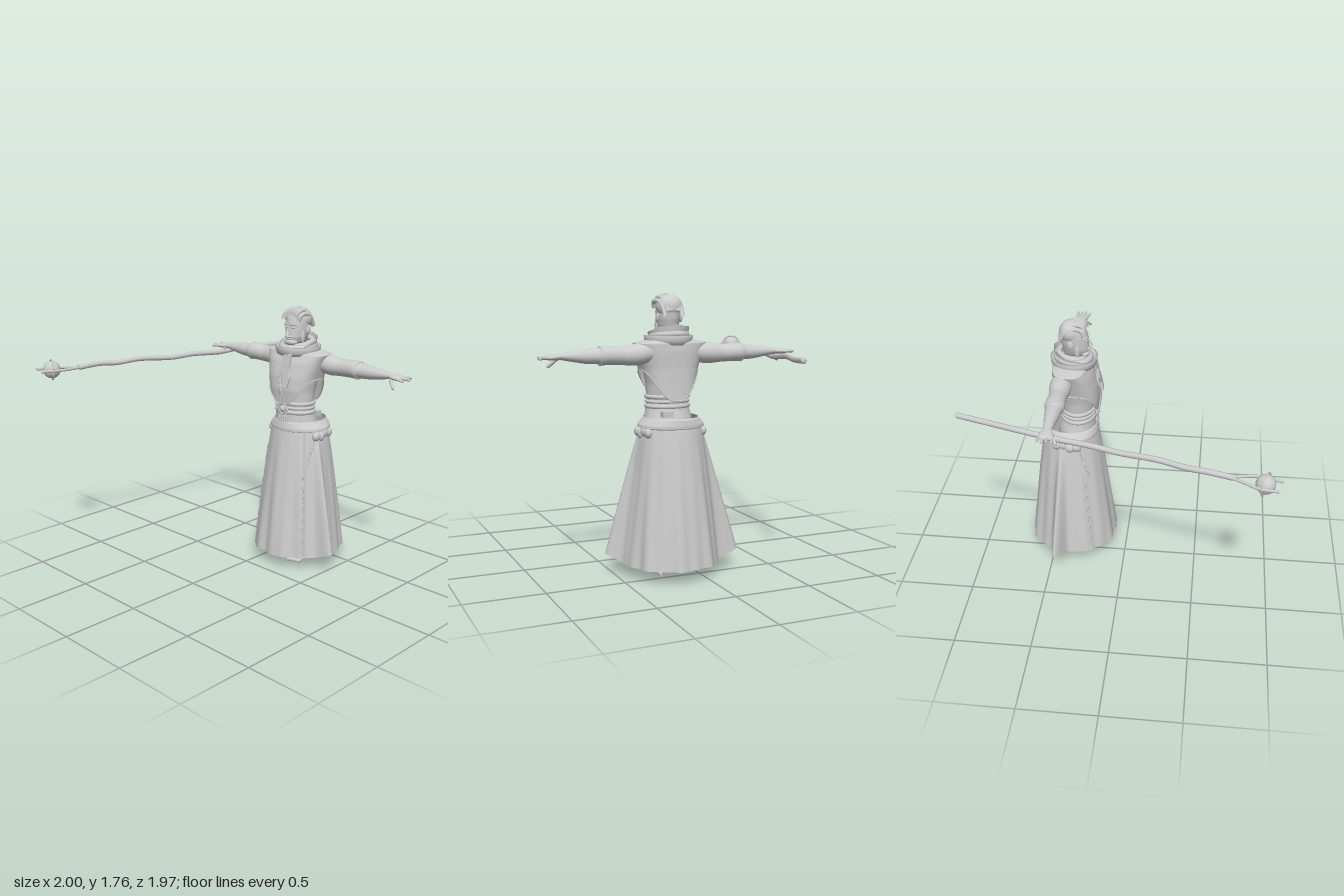
import * as THREE from 'three';

const cloth = new THREE.MeshStandardMaterial({ color: 0xcccccc, side: THREE.DoubleSide });
cloth.name = 'plain grey';
const CX = 0.145; // the body's middle line
const V = (x, y, z) => new THREE.Vector3(x, y, z);
const lerp = THREE.MathUtils.lerp;

// linear lookup in rows of [key, a, b, ...]
function look(rows, k) {
  let i = 0;
  while (i < rows.length - 2 && k > rows[i + 1][0]) i++;
  const t = THREE.MathUtils.clamp((k - rows[i][0]) / (rows[i + 1][0] - rows[i][0]), 0, 1);
  return rows[i].map((v, n) => lerp(v, rows[i + 1][n], t));
}

// closed surface through rings; f(angle, t) gives a point
function loft(f, rows, cols) {
  const pos = [], idx = [];
  for (let r = 0; r <= rows; r++) for (let c = 0; c < cols; c++) {
    pos.push(...f(c / cols * Math.PI * 2, r / rows).toArray());
    if (r === rows) continue;
    const a = r * cols + c, b = r * cols + (c + 1) % cols;
    idx.push(a, a + cols, b, b, a + cols, b + cols);
  }
  const g = new THREE.BufferGeometry();
  g.setAttribute('position', new THREE.Float32BufferAttribute(pos, 3));
  g.setIndex(idx);
  g.computeVertexNormals();
  return g;
}

// upright ellipse rings: rows of [y, halfWidth, zFront, zBack]
const stack = (rows, n = 28, steps = 40, cx = CX) => loft((a, t) => {
  const [y, w, zf, zb] = look(rows, lerp(rows[0][0], rows[rows.length - 1][0], t));
  return V(cx + w * Math.cos(a), y, (zf + zb) / 2 + (zf - zb) / 2 * Math.sin(a));
}, steps, n);

export function createModel() {
  const model = new THREE.Group();
  const add = (name, geo, parent = model) => {
    const m = new THREE.Mesh(geo, cloth);
    m.name = name;
    parent.add(m);
    return m;
  };
  const ball = (name, p, r, parent) => {
    const m = add(name, new THREE.SphereGeometry(1, 20, 14), parent);
    m.position.set(...p);
    m.scale.set(...r);
    return m;
  };
  const tube = (name, pts, r, parent, seg = 24) => add(name, new THREE.TubeGeometry(
    new THREE.CatmullRomCurve3(pts.map(p => V(...p))), seg, r, 8), parent);
  const finger = (name, a, b, r, parent) => {
    const A = V(...a), B = V(...b), d = B.clone().sub(A);
    const m = add(name, new THREE.CapsuleGeometry(r, d.length(), 4, 8), parent);
    m.position.copy(A).add(B).multiplyScalar(0.5);
    m.quaternion.setFromUnitVectors(V(0, 1, 0), d.normalize());
  };
  const ring = (name, y, rx, rz, z, r, flat = 1, tilt = 0) => {
    const m = add(name, new THREE.TorusGeometry(1, r / rx, 10, 48).rotateX(Math.PI / 2));
    m.scale.set(rx, rx * flat, rz);
    m.position.set(CX, y, z);
    m.rotation.x = tilt;
    return m;
  };

  // Long skirt: a bell with two side pleats, a raised front panel and soft folds
  const skirtPoint = (a, t, off = 0) => {
    const near = c => { const d = Math.atan2(Math.sin(a - c), Math.cos(a - c)); return Math.exp(-d * d / 0.014); };
    const pleat = near(0.3) + near(Math.PI + 0.2);
    const panel = a > 0.75 && a < 2.6 ? 0.01 : 0;
    const fold = t * (0.007 * Math.sin(a * 9 + t * 2) + 0.005 * Math.sin(a * 17));
    const bell = Math.pow(t, 0.85);
    const r = panel + fold + off + pleat * 0.125 * t;
    const hx = lerp(0.185, 0.305, bell) + r, hz = lerp(0.175, 0.295, bell) + r;
    return V(CX + hx * Math.cos(a), lerp(0.955, 0.078 + 0.05 * Math.min(pleat, 1), t), -0.383 + hz * Math.sin(a));
  };
  add('skirt', loft(skirtPoint, 36, 180));
  // ragged edging along the skirt openings
  [[0.35, 0.8, 0.06, 0.38], [2.75, 2.45, 0.06, 0.32], [2.6, 2.58, 0.3, 0.97], [0.75, 0.76, 0.4, 0.97]].forEach(([a0, a1, t0, t1]) => {
    const pts = [];
    for (let i = 0; i <= 14; i++) pts.push(skirtPoint(lerp(a0, a1, i / 14) + (i % 2) * 0.03, lerp(t0, t1, i / 14), 0.002).toArray());
    tube('skirtEdging', pts, 0.006, model, 60);
  });
  // Folded waistband
  add('waistband', stack([[0.93, 0.19, -0.2, -0.558], [0.937, 0.212, -0.19, -0.568], [0.955, 0.208, -0.19, -0.568],
    [0.99, 0.175, -0.198, -0.563], [0.998, 0.168, -0.205, -0.555], [0.96, 0.16, -0.215, -0.545]].slice(0, 5), 48));
  for (const s of [-1, 1]) for (let i = 0; i < 4; i++)
    ball('hipDrape', [CX + s * (0.195 - i * 0.004), 0.905 - 0.012 * Math.sin(i * 2), -0.32 - i * 0.045], [0.024, 0.032, 0.034]);

  // Torso
  add('torso', stack([[0.86, 0.15, -0.22, -0.47], [0.98, 0.155, -0.21, -0.46], [1.04, 0.142, -0.215, -0.44],
    [1.1, 0.134, -0.22, -0.43], [1.2, 0.142, -0.215, -0.445], [1.3, 0.165, -0.21, -0.465],
    [1.4, 0.19, -0.23, -0.465], [1.45, 0.14, -0.26, -0.45]], 40));

  // Vest with pointed front and back
  const vestRows = [[1.09, 0.15, -0.19, -0.492], [1.22, 0.17, -0.182, -0.484], [1.3, 0.185, -0.192, -0.48],
    [1.4, 0.215, -0.222, -0.482], [1.452, 0.236, -0.25, -0.478]];
  const vestPoint = (a, t) => {
    const s = Math.sin(a), c = Math.cos(a);
    const low = lerp(1.285, s > 0 ? 1.12 : 1.1, Math.pow(Math.abs(s), 2.6));
    const k = Math.max(0, (t - 0.15) / 0.85), top = Math.min(1, t / 0.15);
    const y = lerp(1.455, low, k);
    const [, w, zf, zb] = look(vestRows, y);
    const px = Math.sign(c) * Math.pow(Math.abs(c), 0.72), pz = Math.sign(s) * Math.pow(Math.abs(s), 0.72);
    const g = lerp(0.5, 1, top);
    return V(CX + w * px * g, y + 0.02 * (1 - top), (zf + zb) / 2 + (zf - zb) / 2 * pz * lerp(0.75, 1, top));
  };
  add('vest', loft(vestPoint, 40, 72));
  const hem = [];
  for (let i = 0; i <= 72; i++) hem.push(vestPoint(i / 72 * Math.PI * 2, 1).toArray());
  tube('vestHem', hem, 0.004, model, 144);

  // Belts, buckle and back pouch
  [1.06, 1.09, 1.12].forEach((y, i) => ring('belt', y, 0.138, 0.11, -0.325, i === 1 ? 0.009 : 0.012, 1.1));
  const buckle = new THREE.Group();
  buckle.name = 'buckle';
  buckle.position.set(CX, 1.085, -0.2);
  model.add(buckle);
  add('buckleRim', new THREE.TorusGeometry(0.032, 0.008, 8, 24), buckle);
  ball('buckleBoss', [0, 0, 0], [0.024, 0.024, 0.018], buckle);
  for (let i = 0; i < 8; i++)
    ball('buckleStud', [0.04 * Math.cos(i * Math.PI / 4), 0.04 * Math.sin(i * Math.PI / 4), 0], [0.007, 0.007, 0.007], buckle);
  for (let i = 0; i < 5; i++) finger('tassel', [CX - 0.032 + i * 0.016, 1.035, -0.205], [CX - 0.034 + i * 0.017, 1.0, -0.198], 0.006);
  const pouch = add('backPouch', new THREE.BoxGeometry(0.07, 0.035, 0.05));
  pouch.position.set(CX + 0.06, 1.02, -0.465);

  // Collar: flat outer band, scarf rolls and a raised back
  add('collarBand', new THREE.LatheGeometry([[0.09, 1.445], [0.138, 1.44], [0.15, 1.465], [0.153, 1.496], [0.142, 1.499], [0.125, 1.475], [0.08, 1.46]]
    .map(p => new THREE.Vector2(...p)), 48)).position.set(CX, 0, -0.345);
  ring('scarfRoll', 1.495, 0.108, 0.108, -0.35, 0.022, 1, 0.12);
  ring('scarfRoll', 1.515, 0.088, 0.088, -0.355, 0.018, 1, 0.2);
  add('hoodBack', loft((a, t) => {
    const r = lerp(0.115, 0.128, t), up = (1 - Math.sin(a)) / 2;
    return V(CX + r * Math.cos(a), lerp(1.46, 1.485 + 0.08 * up, t) + 0.004 * Math.sin(a * 7) * t, -0.345 + r * Math.sin(a));
  }, 6, 48));

  // Scarf tail and cord on the chest
  const tail = new THREE.Shape([[0.14, 1.46], [0.205, 1.46], [0.198, 1.36], [0.217, 1.3], [0.203, 1.23], [0.165, 1.225],
    [0.173, 1.285], [0.15, 1.33], [0.166, 1.39]].map(p => new THREE.Vector2(p[0], p[1] - 1.46)));
  const tailMesh = add('scarfTail', new THREE.ExtrudeGeometry(tail, { depth: 0.01, bevelSize: 0.003, bevelThickness: 0.003, bevelSegments: 2 }));
  tailMesh.position.set(0, 1.46, -0.218);
  tailMesh.rotation.x = -0.2;
  tube('cord', [[0.12, 1.44, -0.215], [0.14, 1.38, -0.205], [0.122, 1.3, -0.185], [0.145, 1.22, -0.175], [0.14, 1.12, -0.185]], 0.006);
  tube('cord', [[0.165, 1.42, -0.215], [0.135, 1.3, -0.185], [0.155, 1.2, -0.175], [0.15, 1.12, -0.185]], 0.006);

  // Neck and head
  add('head', stack([[1.42, 0.06, -0.285, -0.41], [1.497, 0.054, -0.285, -0.408], [1.507, 0.035, -0.258, -0.408], [1.525, 0.052, -0.247, -0.41],
    [1.56, 0.067, -0.243, -0.415], [1.6, 0.074, -0.248, -0.425], [1.65, 0.076, -0.252, -0.43],
    [1.69, 0.073, -0.262, -0.428], [1.72, 0.055, -0.285, -0.41], [1.738, 0.005, -0.33, -0.35]], 32, 50));
  ball('beard', [CX, 1.525, -0.272], [0.05, 0.024, 0.033]);
  ball('moustache', [CX, 1.562, -0.247], [0.03, 0.007, 0.012]);
  ball('lips', [CX, 1.55, -0.244], [0.018, 0.005, 0.008]);
  const nose = add('nose', new THREE.ConeGeometry(0.016, 0.062, 12));
  nose.position.set(CX, 1.602, -0.24);
  nose.rotation.x = -0.2;
  ball('noseTip', [CX, 1.58, -0.234], [0.013, 0.01, 0.013]);
  for (const s of [-1, 1]) {
    ball('eye', [CX + s * 0.03, 1.622, -0.258], [0.013, 0.008, 0.008]);
    tube('brow', [[CX + s * 0.012, 1.638, -0.25], [CX + s * 0.034, 1.645, -0.256], [CX + s * 0.054, 1.636, -0.275]], 0.006);
    ball('ear', [CX + s * 0.078, 1.605, -0.355], [0.01, 0.03, 0.019]).rotation.x = -0.2;
    ball('sideburn', [CX + s * 0.066, 1.56, -0.315], [0.011, 0.045, 0.018]);
  }
  // Hair swept up and back in locks
  ball('hair', [CX, 1.672, -0.357], [0.083, 0.076, 0.08]);
  for (let i = 0; i < 7; i++) {
    const x = (i - 3) * 0.021, y = 1.735 - x * x * 7 + 0.005 * (i % 2);
    tube('hairLock', [[CX + x, y - 0.04, -0.27], [CX + x * 1.05 + 0.006, y - 0.008, -0.282], [CX + x + 0.006, y + 0.002, -0.325], [CX + x, y - 0.02, -0.385], [CX + x * 0.9, y - 0.085, -0.428]], 0.015);
  }

  // Arms: rows of [distance out, y, half height, half depth]; then hands
  const armRows = [[0.1, 1.4, 0.05, 0.05], [0.2, 1.39, 0.066, 0.07], [0.25, 1.385, 0.066, 0.07], [0.33, 1.382, 0.056, 0.058], [0.42, 1.386, 0.057, 0.062],
    [0.46, 1.386, 0.058, 0.064], [0.48, 1.385, 0.05, 0.056], [0.5, 1.384, 0.047, 0.052], [0.56, 1.384, 0.044, 0.046], [0.66, 1.386, 0.029, 0.033],
    [0.71, 1.387, 0.02, 0.028], [0.76, 1.384, 0.018, 0.045], [0.79, 1.382, 0.015, 0.047], [0.81, 1.382, 0.004, 0.035]];
  for (const s of [-1, 1]) {
    const arm = new THREE.Group();
    arm.name = s > 0 ? 'leftArm' : 'rightArm';
    arm.position.x = CX;
    model.add(arm);
    add('sleeve', loft((a, t) => {
      const [d, y, h, w] = look(armRows, lerp(0.1, 0.81, t));
      return V(s * d, y + h * Math.sin(a), -0.402 + w * Math.cos(a));
    }, 64, 24), arm);
    const cuff = add('elbowCuff', new THREE.TorusGeometry(0.053, 0.008, 8, 24).rotateY(Math.PI / 2), arm);
    cuff.position.set(s * 0.47, 1.385, -0.402);
    for (let i = 0; i < 4; i++)
      finger('finger', [s * 0.785, 1.383, -0.437 + i * 0.025], [s * (0.845 - 0.008 * Math.abs(i - 1.4)), 1.386 - 0.008 * (i % 2), -0.445 + i * 0.029], 0.0085, arm);
    finger('thumb', [s * 0.73, 1.372, -0.378], [s * 0.772, 1.328, -0.347], 0.0105, arm);
  }

  // Legs and bare feet
  for (const s of [-1, 1]) {
    const leg = new THREE.Group();
    leg.name = s > 0 ? 'leftLeg' : 'rightLeg';
    model.add(leg);
    const x = CX + s * 0.095;
    add('shin', stack([[0.03, 0.03, -0.37, -0.45], [0.1, 0.028, -0.375, -0.435], [0.3, 0.05, -0.345, -0.455], [0.46, 0.052, -0.335, -0.44],
      [0.7, 0.072, -0.28, -0.44], [0.9, 0.075, -0.25, -0.45]], 20, 30, x), leg);
    add('foot', loft((a, t) => {
      const [z, w, h] = look([[-0.457, 0.004, 0.02], [-0.44, 0.03, 0.055], [-0.38, 0.034, 0.085], [-0.32, 0.042, 0.058], [-0.25, 0.05, 0.034], [-0.225, 0.044, 0.022], [-0.222, 0.003, 0.012]], lerp(-0.457, -0.222, t));
      return V(x + w * Math.cos(a), Math.max(0.002, h / 2 + h / 2 * Math.sin(a) * 1.05), z);
    }, 36, 20), leg);
    for (let i = 0; i < 5; i++)
      ball('toe', [x + s * (i - 2) * 0.019, 0.013, -0.218 - i * 0.007], [0.011, 0.013, 0.02], leg);
  }

  // Gnarled staff with an orb held in prongs
  const staff = new THREE.Group();
  staff.name = 'staff';
  model.add(staff);
  tube('shaft', [[-0.44, 1.365, -0.98], [-0.485, 1.358, -0.8], [-0.555, 1.362, -0.59], [-0.6, 1.345, -0.35], [-0.66, 1.352, -0.13],
    [-0.7, 1.345, 0.03], [-0.77, 1.36, 0.27], [-0.815, 1.35, 0.43], [-0.85, 1.357, 0.55], [-0.878, 1.347, 0.7]], 0.018, staff, 80);
  ball('shaftEnd', [-0.44, 1.365, -0.98], [0.02, 0.02, 0.01], staff);
  tube('prong', [[-0.875, 1.347, 0.68], [-0.925, 1.35, 0.76], [-0.975, 1.353, 0.84], [-0.993, 1.355, 0.95]], 0.009, staff);
  tube('prong', [[-0.875, 1.347, 0.68], [-0.862, 1.35, 0.76], [-0.86, 1.353, 0.85], [-0.9, 1.355, 0.975]], 0.009, staff);
  const orb = add('orb', new THREE.IcosahedronGeometry(0.058, 2), staff);
  orb.position.set(-0.927, 1.353, 0.875);
  const hoop = add('orbHoop', new THREE.TorusGeometry(0.066, 0.005, 8, 36), staff);
  hoop.position.copy(orb.position);
  hoop.rotation.y = -0.42;
  return model;
}
